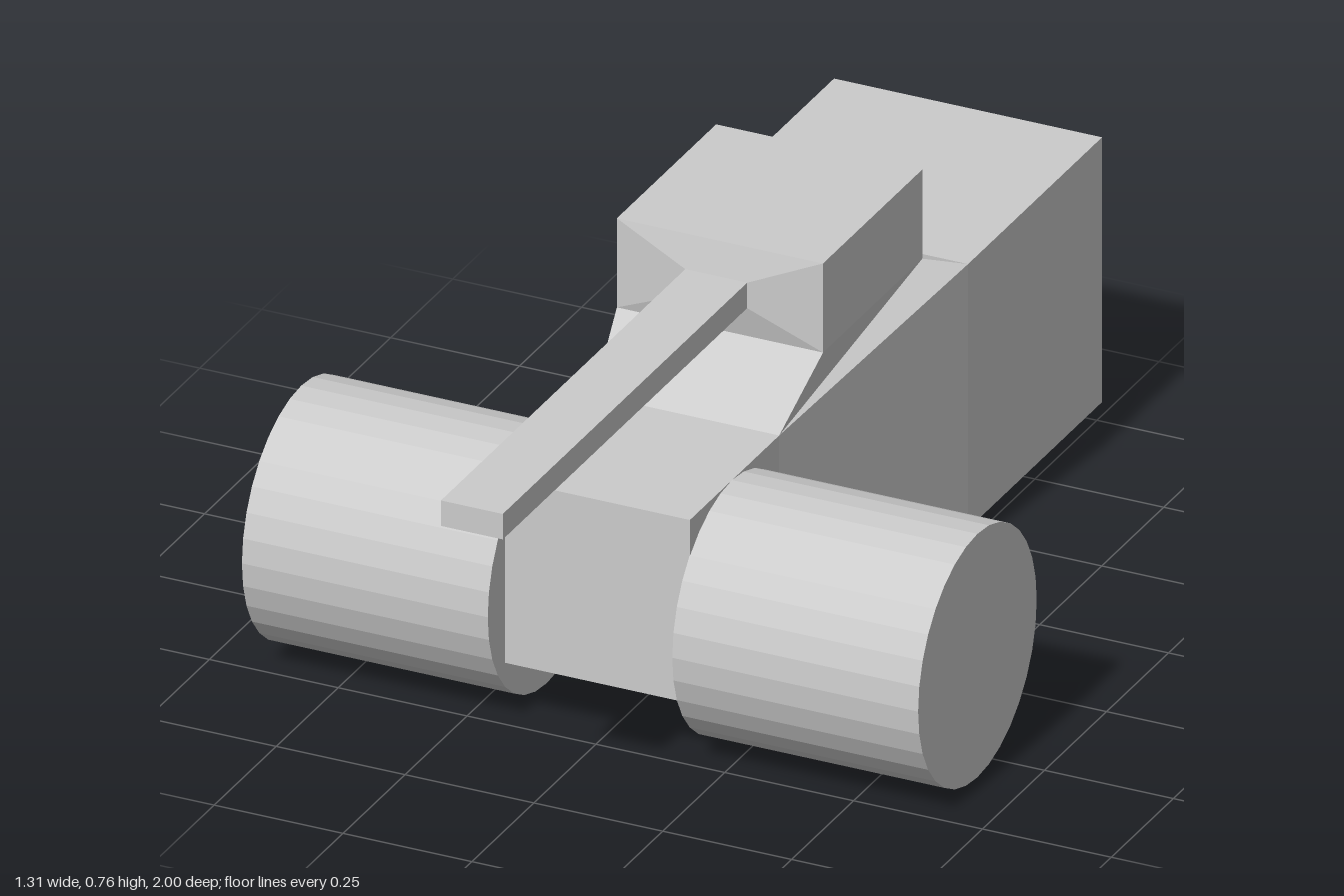
import * as THREE from 'three';

// Skin a run of four-cornered loops, each counter-clockwise seen from the far end
function loft(loops, capStart, capEnd) {
  const pos = [];
  const quad = (a, b, c, d) => pos.push(...a, ...b, ...c, ...a, ...c, ...d);
  for (let i = 0; i < loops.length - 1; i++) {
    const p = loops[i], q = loops[i + 1];
    for (let j = 0; j < 4; j++) {
      const k = (j + 1) % 4;
      quad(p[j], p[k], q[k], q[j]);
    }
  }
  if (capStart) quad(...[...loops[0]].reverse());
  if (capEnd) quad(...loops[loops.length - 1]);
  const geo = new THREE.BufferGeometry();
  geo.setAttribute('position', new THREE.Float32BufferAttribute(pos, 3));
  geo.computeVertexNormals();
  return geo;
}

// Upright rectangle at depth z
const upright = (w, y0, y1, z) => [[-w, y0, z], [w, y0, z], [w, y1, z], [-w, y1, z]];
// Level section at given height, with separate front and back edges [half width, y, z]
const level = ([fw, fy, fz], [bw, by, bz]) => [[-fw, fy, fz], [fw, fy, fz], [bw, by, bz], [-bw, by, bz]];

export function createModel() {
  const group = new THREE.Group();
  const material = new THREE.MeshStandardMaterial({ color: 0xcccccc, flatShading: true });
  const add = (name, geometry) => {
    const mesh = new THREE.Mesh(geometry, material);
    mesh.name = name;
    group.add(mesh);
    return mesh;
  };

  // Hull: deep box at the back, tapering to a narrow front block
  add('hull', loft([
    upright(0.26, 0.04, 0.56, -1),
    upright(0.26, 0.04, 0.56, -0.46),
    upright(0.18, 0.12, 0.48, 0.135),
    upright(0.18, 0.12, 0.48, 0.495),
  ], true, true));

  // Sloped collar rising from the hull into the turret
  add('turret', loft([
    level([0.18, 0.48, 0.135], [0.26, 0.56, -0.46]),
    level([0.2, 0.585, 0], [0.2, 0.585, -0.4]),
    level([0.2, 0.76, 0], [0.2, 0.76, -0.4]),
  ], false, true));

  // Shallow pyramid on the turret front, running into the barrel
  add('barrel', loft([
    upright(0.2, 0.585, 0.76, 0),
    upright(0.06, 0.648, 0.698, 0.015),
    upright(0.06, 0.648, 0.698, 1),
  ], false, true));

  // A wide drum wheel on each side of the front block
  for (const [name, side] of [['leftWheel', 1], ['rightWheel', -1]]) {
    const wheel = add(name, new THREE.CylinderGeometry(0.239, 0.239, 0.477, 32));
    wheel.rotation.z = Math.PI / 2;
    wheel.position.set(side * 0.4175, 0.241, 0.325);
  }
  return group;
}
